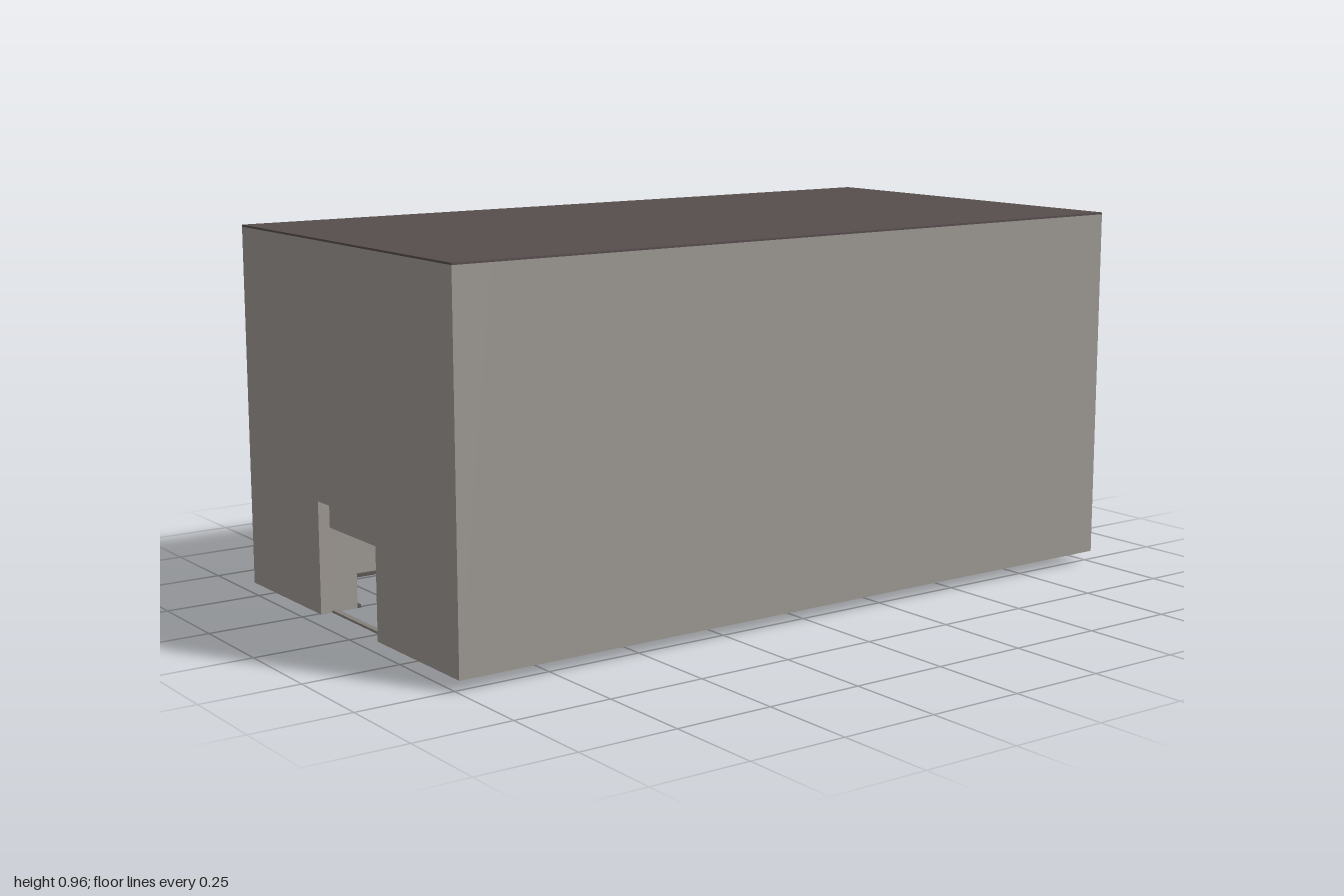
import * as THREE from 'three';

export function createModel() {
  const model = new THREE.Group();
  const mat = (name, color) => new THREE.MeshStandardMaterial({ name, color });
  const stone = mat('wall stone', 0x9c9791);
  const slate = mat('roof slate', 0x574d4d);
  const stepMat = mat('dark step', 0x5c5654);
  const iron = mat('dark iron', 0x2c2929);
  const treadMat = mat('grey tread', 0x84807b);

  const add = (name, geo, material, parent = model) => {
    const m = new THREE.Mesh(geo, material);
    m.name = name;
    parent.add(m);
    return m;
  };
  // box given by its min and max corners
  const box = (name, material, x0, x1, y0, y1, z0, z1, parent) => {
    const m = add(name, new THREE.BoxGeometry(x1 - x0, y1 - y0, z1 - z0), material, parent);
    m.position.set((x0 + x1) / 2, (y0 + y1) / 2, (z0 + z1) / 2);
    return m;
  };

  // hall shell, open underneath
  const W = 0.522, BASE = 0.03, TOP = 0.955, T = 0.1;
  const front = new THREE.Shape([
    [-W, BASE], [-0.145, BASE], [-0.145, 0.315], [0.145, 0.315],
    [0.145, BASE], [W, BASE], [W, TOP], [-W, TOP],
  ].map(([x, y]) => new THREE.Vector2(x, y)));
  const frontGeo = new THREE.ExtrudeGeometry(front, { depth: T, bevelEnabled: false });
  add('frontWall', frontGeo, stone).position.z = 1 - T;
  box('backWall', stone, -W, W, BASE, TOP, -1, -1 + T);
  for (const s of [-1, 1]) {
    box('sideWall', stone, s * (W - T / 2) - T / 2, s * (W - T / 2) + T / 2, BASE, TOP, -1 + T, 1 - T);
  }
  box('ceiling', stone, -W + T, W - T, TOP - 0.04, TOP, -1 + T, 1 - T);
  box('roof', slate, -W, W, TOP, 0.96, -1, 1);

  // doorway lintel and threshold
  box('lintel', stone, -0.145, 0.145, 0.245, 0.315, 0.9, 0.97);
  box('threshold', treadMat, -0.145, 0.145, BASE, 0.036, 0.955, 0.97);

  // low trim around the inside of the walls
  const ix = W - T, iz = 1 - T;
  for (const s of [-1, 1]) {
    box('sideTrim', stepMat, s * (ix - 0.005) - 0.005, s * (ix - 0.005) + 0.005, BASE, 0.038, -iz, iz);
    if (s < 0) box('backTrim', stepMat, -ix, ix, BASE, 0.038, -iz, -iz + 0.01);
    box('frontTrim', stepMat, s < 0 ? -ix : 0.145, s < 0 ? -0.145 : ix, BASE, 0.038, iz - 0.01, iz);
  }

  // spiral stair, centred on the column
  const stair = new THREE.Group();
  stair.name = 'spiralStair';
  stair.position.z = -0.1;
  model.add(stair);

  const colHeight = TOP - 0.04 - BASE;
  add('column', new THREE.CylinderGeometry(0.057, 0.057, colHeight, 32), stone, stair)
    .position.y = BASE + colHeight / 2;
  add('columnBase', new THREE.CylinderGeometry(0.069, 0.069, 0.02, 32), stone, stair)
    .position.y = BASE + 0.01;

  // wedge pointing to +z, lying flat with its bottom at y = 0
  const wedge = (r0, r1, w0, w1, h) => {
    const s = new THREE.Shape([
      new THREE.Vector2(-w0, -r0), new THREE.Vector2(-w1, -r1),
      new THREE.Vector2(w1, -r1), new THREE.Vector2(w0, -r0),
    ]);
    return new THREE.ExtrudeGeometry(s, { depth: h, bevelEnabled: false }).rotateX(-Math.PI / 2);
  };
  const stepGeo = wedge(0.05, 0.248, 0.018, 0.04, 0.028);
  const treadGeo = wedge(0.05, 0.252, 0.021, 0.046, 0.014);
  const STEPS = 32, TURN = Math.PI / 8, RISE = 0.0185, START = 0.14;
  const railPoint = (i, lift) => {
    const a = START + i * TURN;
    return new THREE.Vector3(-0.238 * Math.sin(a), i * RISE + 0.042 + lift, 0.238 * Math.cos(a));
  };
  const post = (name, p, height) => {
    const m = add(name, new THREE.CylinderGeometry(0.0035, 0.0035, height, 8), iron, stair);
    m.position.copy(p);
    m.position.y += height / 2;
  };
  for (let i = 0; i < STEPS; i++) {
    const step = new THREE.Group();
    step.name = 'step';
    step.rotation.y = -(START + i * TURN);
    step.position.y = i * RISE;
    stair.add(step);
    add('stepBlock', stepGeo, stepMat, step);
    add('tread', treadGeo, treadMat, step).position.y = 0.028;
    if (i % 3 === 0) post('baluster', railPoint(i, 0), 0.09);
  }
  // handrail follows the steps
  const railPts = [];
  for (let i = 0; i <= (STEPS - 1) * 2; i++) railPts.push(railPoint(i / 2, 0.09));
  add('handrail', new THREE.TubeGeometry(new THREE.CatmullRomCurve3(railPts), 200, 0.004, 8), iron, stair);
  post('tallPost', new THREE.Vector3(-0.135, 0.06, 0.196), 0.27);

  // two benches facing the stair
  for (const s of [-1, 1]) {
    const bench = new THREE.Group();
    bench.name = 'bench';
    bench.position.set(s * 0.25, 0, 0.3);
    model.add(bench);
    box('benchBase', treadMat, -0.09, 0.09, BASE, 0.037, -0.045, 0.045, bench);
    for (let k = 0; k < 4; k++) {
      const z = -0.036 + k * 0.024;
      box('seatSlat', iron, -0.09, 0.09, 0.085, 0.095, z - 0.01, z + 0.01, bench);
    }
    for (const x of [-0.08, 0.08]) {
      for (const z of [-0.035, 0.035]) {
        box('benchLeg', iron, x - 0.005, x + 0.005, 0.037, 0.085, z - 0.005, z + 0.005, bench);
      }
    }
  }
  return model;
}
